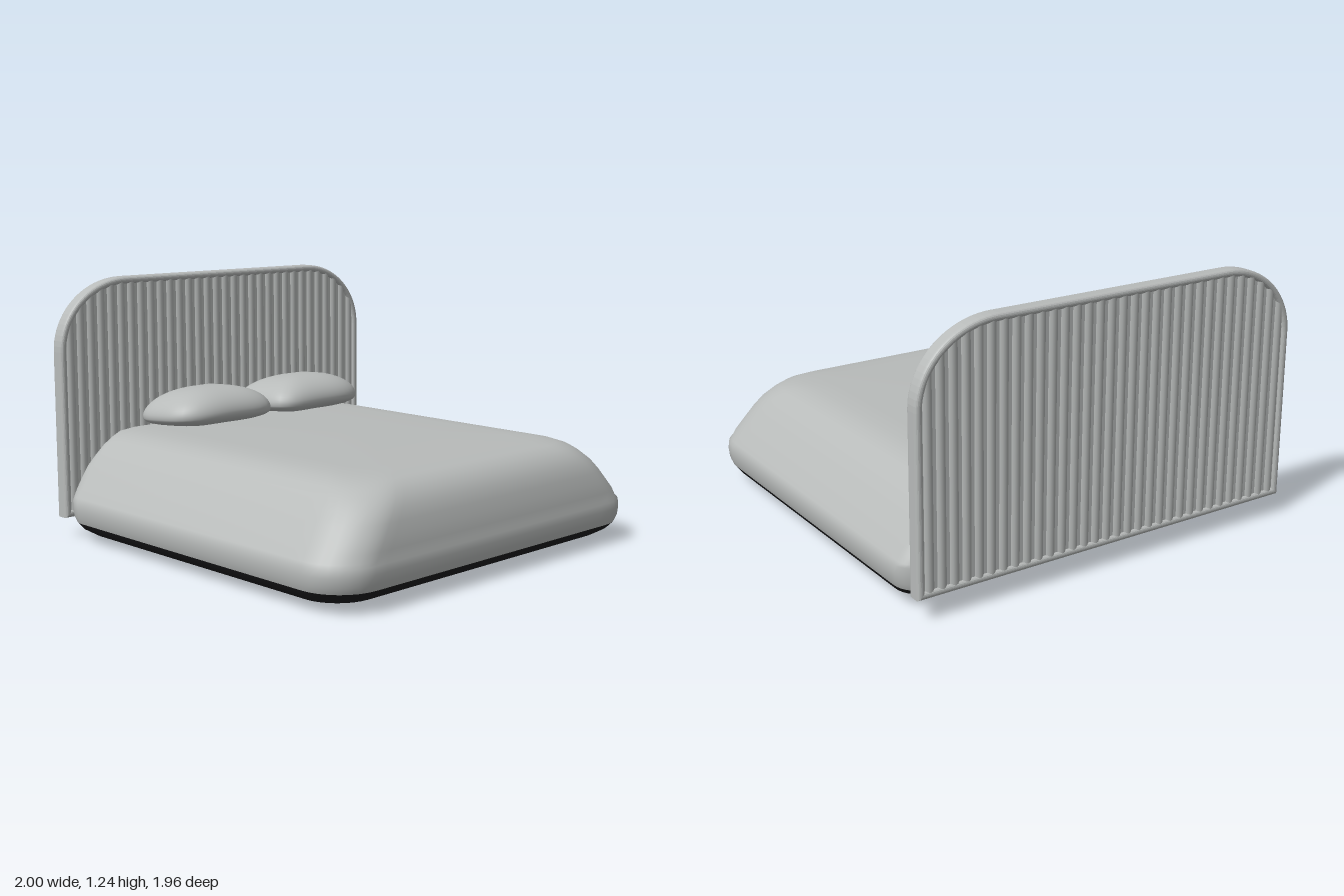
import * as THREE from 'three';

const fabric = new THREE.MeshStandardMaterial({ color: 0xb8bbba });
fabric.name = 'grey fabric';
const dark = new THREE.MeshStandardMaterial({ color: 0x1e1e20 });
dark.name = 'dark base';

function add(parent, name, geometry, material) {
  const mesh = new THREE.Mesh(geometry, material);
  mesh.name = name;
  parent.add(mesh);
  return mesh;
}

// Rounded rectangle in plan: half width, front z, back z, front and back corner radius
function planLoop(hw, zf, zb, rf, rb) {
  const corners = [[1, zb + rb, rb], [-1, zb + rb, rb], [-1, zf - rf, rf], [1, zf - rf, rf]];
  const pts = [], arc = 8, straight = 24;
  corners.forEach(([side, cz, r], k) => {
    for (let i = 0; i <= arc; i++) {
      const a = (k + i / arc) * Math.PI / 2;
      pts.push([side * (hw - r) + r * Math.cos(a), cz - r * Math.sin(a)]);
    }
    const [ns, nz, nr] = corners[(k + 1) % 4];
    const a = (k + 1) * Math.PI / 2;
    const end = [ns * (hw - nr) + nr * Math.cos(a), nz - nr * Math.sin(a)];
    const start = pts[pts.length - 1];
    for (let i = 1; i < straight; i++) {
      const t = i / straight;
      pts.push([start[0] + (end[0] - start[0]) * t, start[1] + (end[1] - start[1]) * t]);
    }
  });
  return pts;
}

// Skin a stack of plan loops: [y, half width, front z, back z, front radius, back radius]
function loft(rings) {
  const pos = [], index = [];
  let n = 0;
  rings.forEach(([y, ...plan]) => {
    const loop = planLoop(...plan);
    n = loop.length;
    for (const [x, z] of loop) {
      // shallow folds where the cover is tucked behind the head end
      const fold = y > 0.2 && y < 0.5 && z < -0.84 ? 0.012 * Math.sin(x * 23) * Math.abs(x) : 0;
      pos.push(x, y, z + fold);
    }
  });
  for (let i = 0; i < rings.length - 1; i++) {
    for (let j = 0; j < n; j++) {
      const a = i * n + j, b = i * n + (j + 1) % n;
      index.push(a, b, b + n, a, b + n, a + n);
    }
  }
  const g = new THREE.BufferGeometry();
  g.setAttribute('position', new THREE.Float32BufferAttribute(pos, 3));
  g.setIndex(index);
  g.computeVertexNormals();
  return g;
}

// Headboard outline, inset by d
const HALF = 0.985, TOP = 1.24, BOTTOM = 0.1, CX = 0.6, CY = 0.9;
function topAt(x, d) {
  const t = Math.min(1, Math.max(0, Math.abs(x) - CX) / (HALF - CX - d));
  return CY + (TOP - CY - d) * Math.sqrt(1 - t * t);
}
function outlinePoints(d) {
  const rx = HALF - CX - d, ry = TOP - CY - d, steps = 20;
  const pts = [new THREE.Vector2(-HALF + d, BOTTOM + d), new THREE.Vector2(HALF - d, BOTTOM + d)];
  for (const side of [1, -1]) {
    for (let i = 0; i <= steps; i++) {
      const a = (side > 0 ? i : steps - i) / steps * Math.PI / 2;
      pts.push(new THREE.Vector2(side * (CX + rx * Math.cos(a)), CY + ry * Math.sin(a)));
    }
  }
  return pts;
}

function makeHeadboard() {
  const group = new THREE.Group();
  group.name = 'headboard';
  group.position.z = -0.9425;

  // rounded border
  const rim = new THREE.Shape(outlinePoints(0));
  rim.holes.push(new THREE.Path(outlinePoints(0.035)));
  const rimGeo = new THREE.ExtrudeGeometry(rim, {
    depth: 0.041, bevelThickness: 0.017, bevelSize: 0.015, bevelOffset: -0.015, bevelSegments: 4,
  });
  rimGeo.translate(0, 0, -0.0205);
  add(group, 'headboardRim', rimGeo, fabric);

  // core behind the grooves
  const coreGeo = new THREE.ExtrudeGeometry(new THREE.Shape(outlinePoints(0.02)),
    { depth: 0.048, bevelEnabled: false });
  coreGeo.translate(0, 0, -0.024);
  add(group, 'headboardCore', coreGeo, fabric);

  // padded vertical channels whose tops follow the arched outline
  const count = 32, pitch = 1.91 / count;
  for (let i = 0; i < count; i++) {
    const g = new THREE.CylinderGeometry(1, 1, 1, 16, 1, true);
    g.scale(pitch / 2, 1, 0.036);
    g.translate((i + 0.5 - count / 2) * pitch, 0, 0);
    const p = g.attributes.position;
    for (let k = 0; k < p.count; k++) {
      p.setY(k, p.getY(k) > 0 ? topAt(p.getX(k), 0.027) : BOTTOM + 0.02);
    }
    add(group, 'headboardChannel', g, fabric);
  }
  return group;
}

// Cushion: sphere squared off in plan, flat below and domed above
function makePillow() {
  const g = new THREE.SphereGeometry(1, 48, 32);
  const p = g.attributes.position;
  for (let k = 0; k < p.count; k++) {
    const x = p.getX(k), y = p.getY(k), z = p.getZ(k);
    const r = Math.hypot(x, z), angle = Math.atan2(z, x);
    const c = Math.cos(angle), s = Math.sin(angle);
    const e = c < 0 ? 5 : 3.2; // inner side squarer than the outer side
    const reach = Math.pow(Math.pow(Math.abs(c), e) + Math.pow(Math.abs(s), e), -1 / e);
    const spread = Math.pow(r, 0.9) * reach;
    const h = y > 0 ? 0.13 * Math.pow(y, 1.1) : -0.06 * Math.pow(-y, 0.7);
    const lift = 0.02 * s * r;
    p.setXYZ(k, 0.295 * c * spread, 0.575 + h + lift, 0.228 * s * spread);
  }
  g.computeVertexNormals();
  return g;
}

export function createModel() {
  const model = new THREE.Group();
  model.name = 'bed';

  // dark underside
  add(model, 'base', loft([
    [0, 0, 0, 0, 0, 0],
    [0, 0.8, 0.79, -0.75, 0.13, 0.12],
    [0.01, 0.84, 0.83, -0.78, 0.15, 0.12],
    [0.035, 0.92, 0.89, -0.84, 0.18, 0.12],
    [0.065, 0.965, 0.94, -0.88, 0.2, 0.12],
    [0.095, 0.985, 0.968, -0.9, 0.21, 0.12],
  ]), dark);

  // mattress with cover
  add(model, 'mattress', loft([
    [0.095, 0.985, 0.968, -0.9, 0.21, 0.12],
    [0.125, 0.996, 0.977, -0.905, 0.21, 0.12],
    [0.165, 1, 0.98, -0.905, 0.21, 0.12],
    [0.2, 0.996, 0.978, -0.905, 0.21, 0.11],
    [0.215, 0.984, 0.97, -0.905, 0.21, 0.1],
    [0.25, 0.962, 0.968, -0.905, 0.21, 0.1],
    [0.3, 0.922, 0.957, -0.905, 0.21, 0.09],
    [0.35, 0.883, 0.944, -0.905, 0.21, 0.08],
    [0.4, 0.84, 0.925, -0.905, 0.21, 0.08],
    [0.44, 0.798, 0.895, -0.903, 0.21, 0.07],
    [0.47, 0.755, 0.86, -0.9, 0.2, 0.07],
    [0.49, 0.705, 0.815, -0.895, 0.19, 0.06],
    [0.502, 0.64, 0.74, -0.88, 0.18, 0.06],
    [0.507, 0.55, 0.65, -0.85, 0.16, 0.06],
    [0.512, 0.25, 0.3, -0.5, 0.1, 0.06],
    [0.512, 0, 0, 0, 0, 0],
  ]), fabric);

  model.add(makeHeadboard());

  // pair of pillows
  const pillow = makePillow();
  const left = add(model, 'leftPillow', pillow, fabric);
  left.position.set(0.308, 0, -0.665);
  const right = add(model, 'rightPillow', pillow, fabric);
  right.position.set(-0.318, 0, -0.665);
  right.scale.x = -1;

  return model;
}
